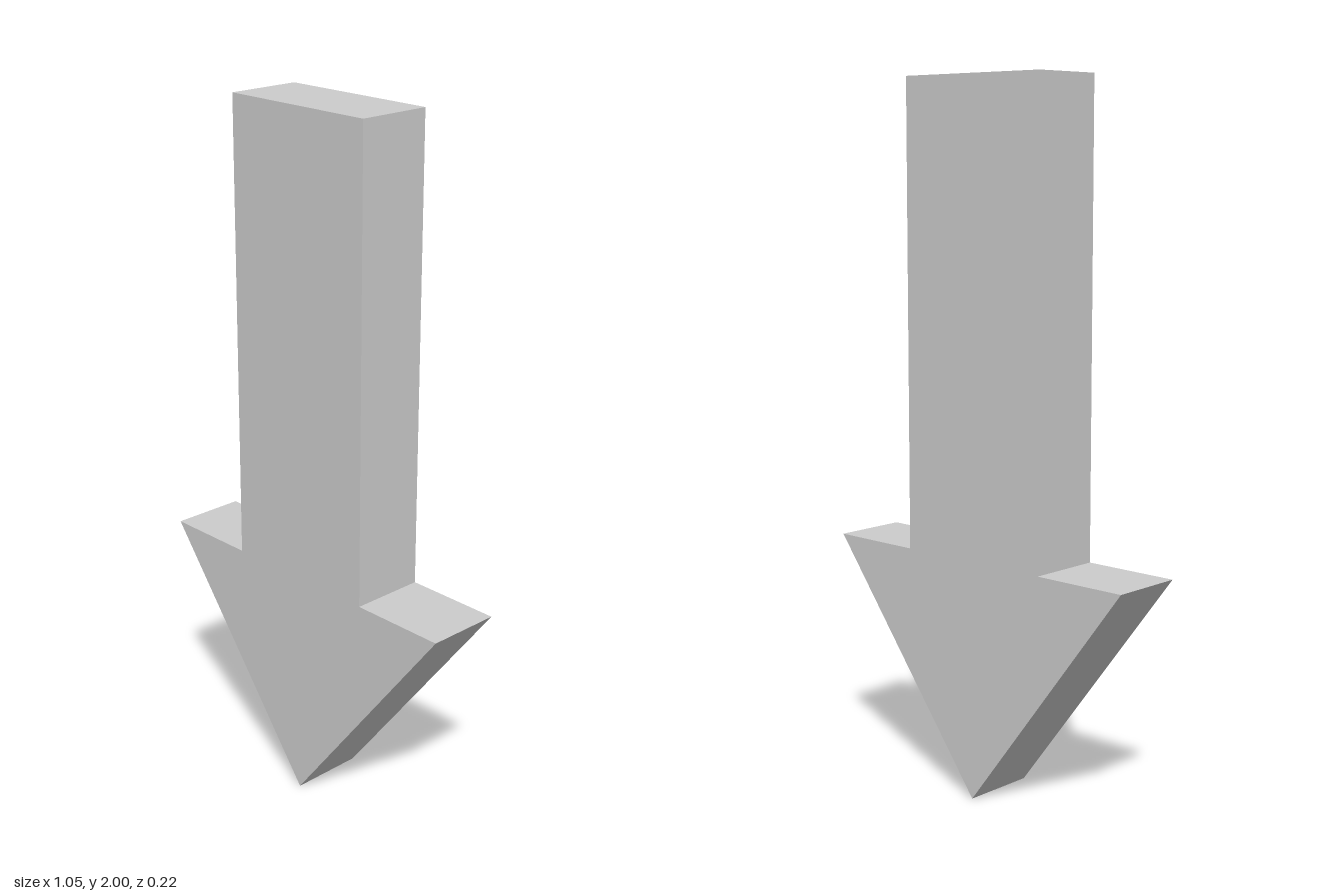
import * as THREE from 'three';

const HEIGHT = 2;
const HEAD_HEIGHT = 0.684;
const HEAD_HALF_WIDTH = 0.525;
const SHAFT_HALF_WIDTH = 0.242;
const DEPTH = 0.217;

export function createModel() {
  const group = new THREE.Group();
  group.name = 'downArrow';

  // Arrow outline, counter-clockwise from the tip
  const right = [
    [HEAD_HALF_WIDTH, HEAD_HEIGHT],
    [SHAFT_HALF_WIDTH, HEAD_HEIGHT],
    [SHAFT_HALF_WIDTH, HEIGHT],
  ];
  const left = right.map(([x, y]) => [-x, y]).reverse();
  const outline = [[0, 0], ...right, ...left].map(([x, y]) => new THREE.Vector2(x, y));

  // Flat slab with sharp edges, centred in depth
  const geometry = new THREE.ExtrudeGeometry(new THREE.Shape(outline), {
    depth: DEPTH,
    bevelEnabled: false,
  });
  geometry.translate(0, 0, -DEPTH / 2);

  const material = new THREE.MeshStandardMaterial({ color: 0xcccccc, flatShading: true });
  const arrow = new THREE.Mesh(geometry, material);
  arrow.name = 'arrowBody';
  group.add(arrow);
  return group;
}
